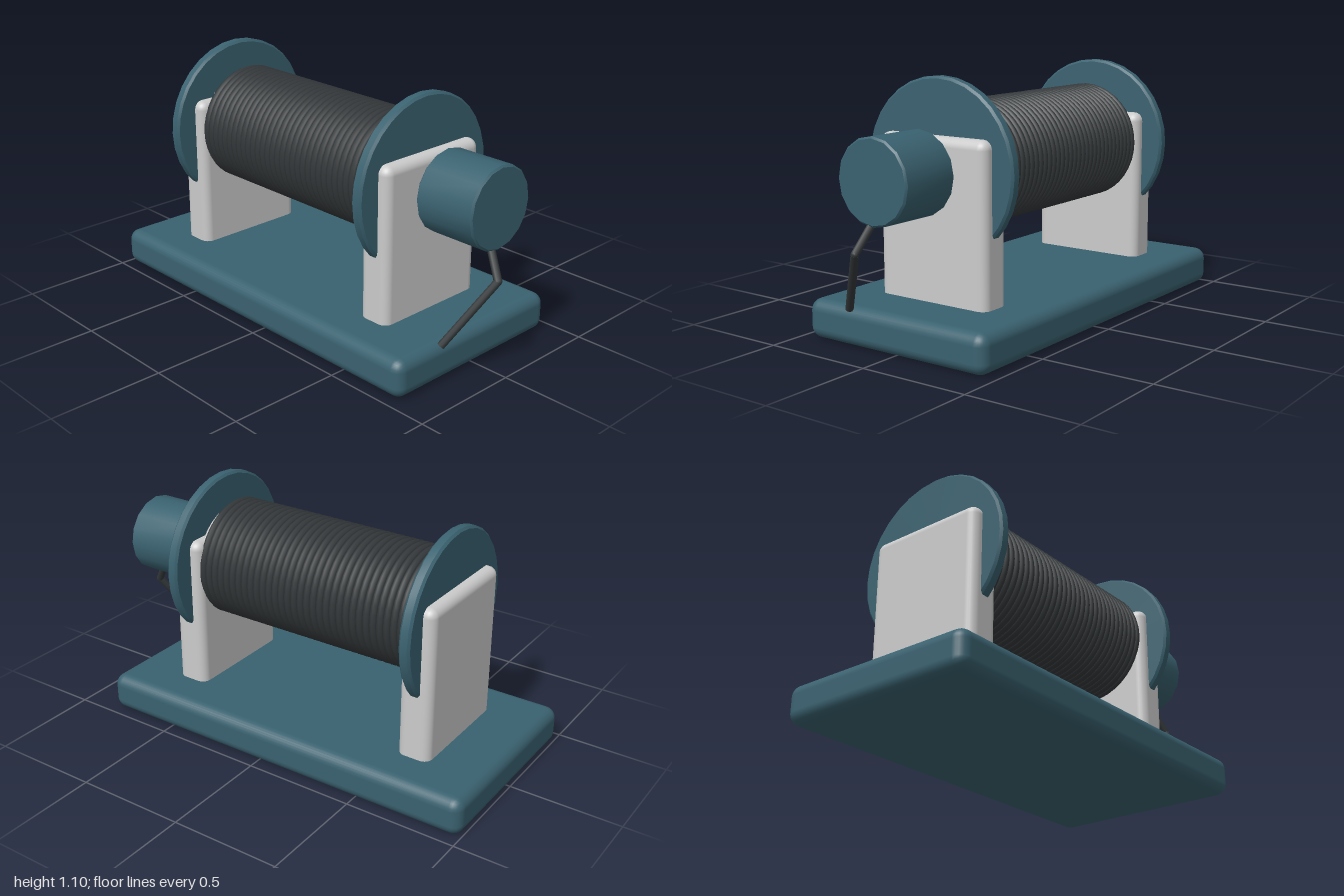
import * as THREE from 'three';
import { RoundedBoxGeometry } from 'three/addons/geometries/RoundedBoxGeometry.js';
import { toCreasedNormals } from 'three/addons/utils/BufferGeometryUtils.js';

const AXIS_Y = 0.72;

export function createModel() {
  const model = new THREE.Group();
  const teal = new THREE.MeshStandardMaterial({ color: 0x3a6270 });
  const dark = new THREE.MeshStandardMaterial({ color: 0x34383a });
  const grey = new THREE.MeshStandardMaterial({ color: 0xcccccc });

  function add(name, geometry, material, x = 0, y = 0, z = 0) {
    const mesh = new THREE.Mesh(geometry, material);
    mesh.name = name;
    mesh.position.set(x, y, z);
    model.add(mesh);
    return mesh;
  }

  // Disc or drum lying along x, with bevelled rims
  function roller(name, x0, x1, radius, bevel, sides, material) {
    const h = (x1 - x0) / 2;
    const profile = [
      [0, -h], [radius - bevel, -h], [radius, -h + bevel],
      [radius, h - bevel], [radius - bevel, h], [0, h],
    ].map(([r, y]) => new THREE.Vector2(r, y));
    const geometry = toCreasedNormals(new THREE.LatheGeometry(profile, sides), 0.6);
    geometry.rotateZ(-Math.PI / 2);
    return add(name, geometry, material, (x0 + x1) / 2, AXIS_Y);
  }

  // Base plate
  add('base', new RoundedBoxGeometry(1.84, 0.17, 0.925, 3, 0.05), teal, -0.08, 0.085);

  // Supports and the flanges set into them
  for (const [side, x, flangeX] of [['right', -0.673, -0.673], ['left', 0.509, 0.508]]) {
    add(side + 'Support', new RoundedBoxGeometry(0.152, 0.74, 0.556, 3, 0.04), grey, x, 0.49);
    roller(side + 'Flange', flangeX - 0.026, flangeX + 0.026, 0.38, 0.01, 32, teal);
  }

  // Drum
  roller('drum', -0.64, 0.476, 0.247, 0.018, 32, grey);

  // Wound cable, one ring per turn
  const turns = 32, first = -0.588, last = 0.428;
  const ring = new THREE.TorusGeometry(0.252, 0.0175, 8, 40).rotateY(Math.PI / 2);
  const winding = new THREE.Group();
  winding.name = 'cableWinding';
  for (let i = 0; i < turns; i++) {
    const turn = new THREE.Mesh(ring, dark);
    turn.name = 'cableTurn';
    turn.position.set(first + (last - first) * i / (turns - 1), AXIS_Y, 0);
    winding.add(turn);
  }
  model.add(winding);

  // Motor
  roller('motor', 0.643, 0.93, 0.178, 0.008, 16, teal);

  // Bent power lead from the motor to the base
  const points = [[0.86, 0.63, 0], [0.975, 0.44, 0.052], [0.838, 0.165, 0.22]]
    .map((p) => new THREE.Vector3(...p));
  for (let i = 0; i < 2; i++) {
    const dir = points[i + 1].clone().sub(points[i]);
    const lead = add('powerLead', new THREE.CylinderGeometry(0.017, 0.017, dir.length(), 10), dark);
    lead.position.copy(points[i]).addScaledVector(dir, 0.5);
    lead.quaternion.setFromUnitVectors(new THREE.Vector3(0, 1, 0), dir.normalize());
  }
  add('leadElbow', new THREE.SphereGeometry(0.017, 10, 8), dark, ...points[1].toArray());

  return model;
}
